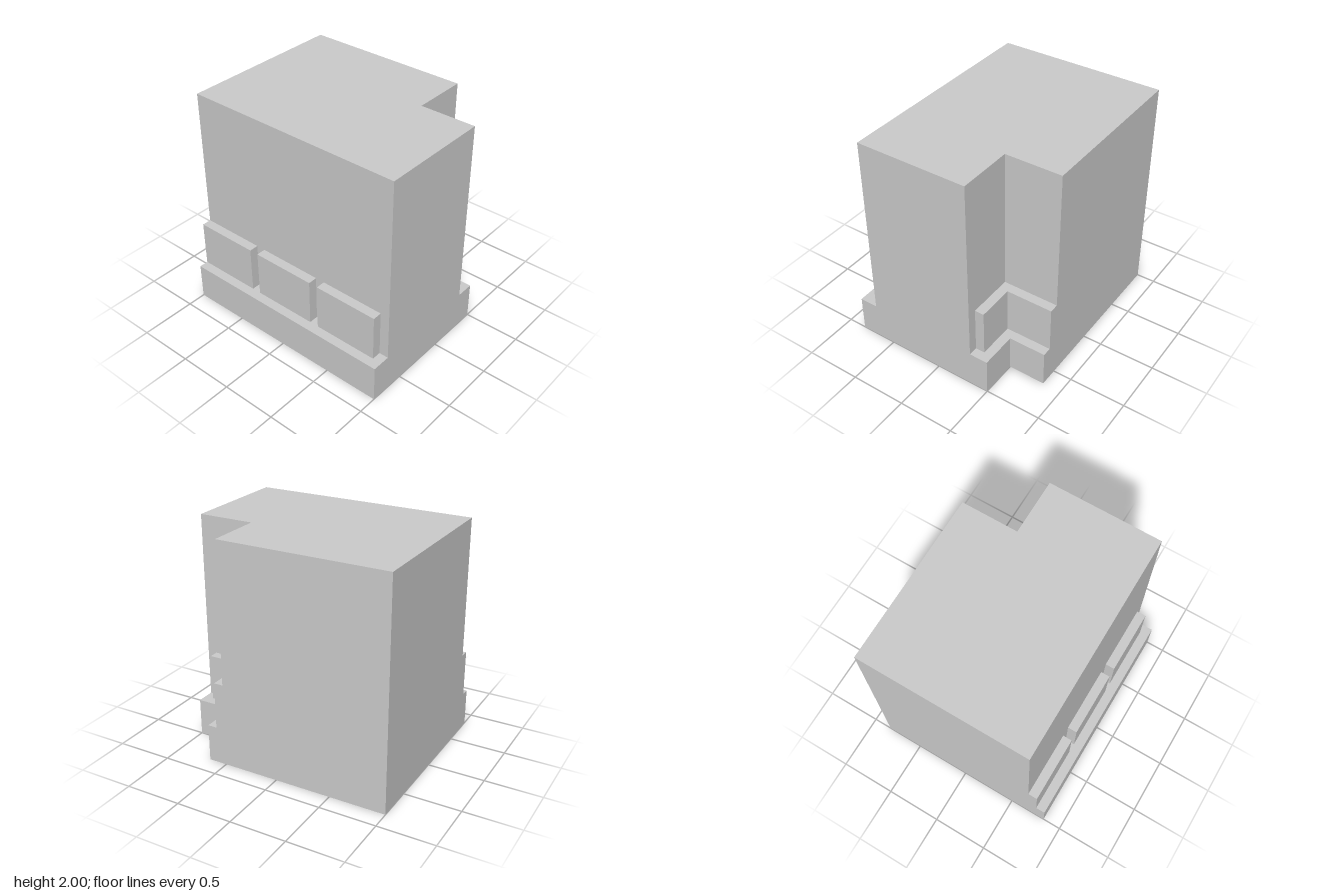
import * as THREE from 'three';

const U = 1 / 12; // layout unit

export function createModel() {
  const group = new THREE.Group();
  const material = new THREE.MeshStandardMaterial({ color: 0xcccccc, flatShading: true });

  // Extrude an [x, z] floor plan from height y0 to y1 (all in layout units)
  function addPrism(name, plan, y0, y1) {
    const shape = new THREE.Shape(plan.map(([x, z]) => new THREE.Vector2(x * U, -z * U)));
    const geometry = new THREE.ExtrudeGeometry(shape, { depth: (y1 - y0) * U, bevelEnabled: false });
    geometry.rotateX(-Math.PI / 2).translate(0, y0 * U, 0);
    const mesh = new THREE.Mesh(geometry, material);
    mesh.name = name;
    group.add(mesh);
  }

  // Rectangle with its back left corner cut away at (cx, cz)
  const notchedPlan = (front, cx, cz) => [
    [-12, front], [12, front], [12, cz], [cx, cz], [cx, -10], [-12, -10],
  ];

  // Plinth and wall
  addPrism('plinth', notchedPlan(10, 8, -6), 0, 4);
  addPrism('wall', notchedPlan(8, 6, -4), 4, 24);

  // Row of blocks standing on the front ledge
  for (const x of [-12, -4, 4]) {
    addPrism('frontBlock', [[x, 9], [x + 7, 9], [x + 7, 8], [x, 8]], 4, 9);
  }

  // L-shaped block lining the inner corner
  addPrism('cornerBlock', [[6, -4], [11, -4], [11, -5], [7, -5], [7, -10], [6, -10]], 4, 9);

  return group;
}
